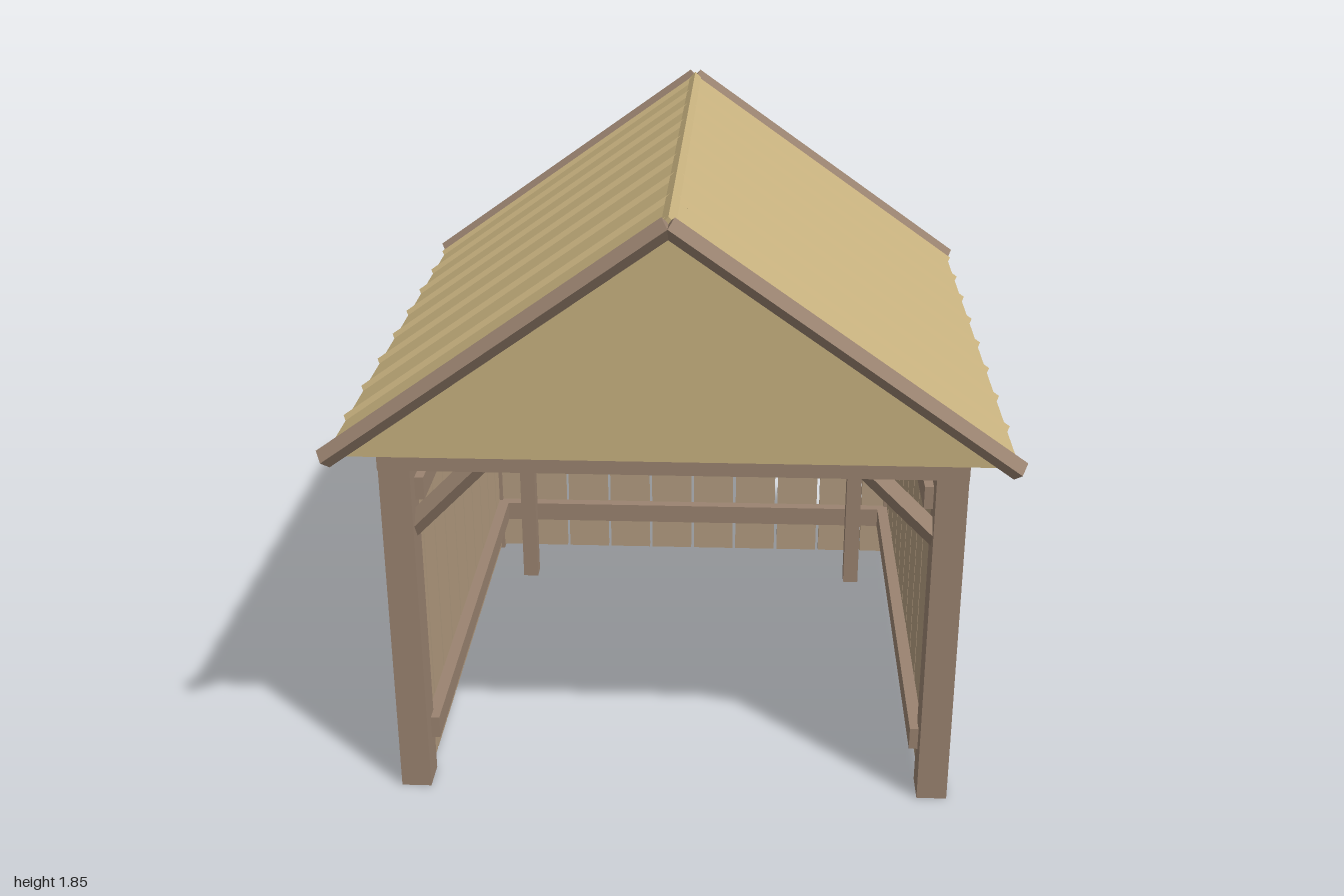
import * as THREE from 'three';

const material = (color) => new THREE.MeshStandardMaterial({ color, flatShading: true });

export function createModel() {
  const shelter = new THREE.Group();
  shelter.name = 'shelter';
  const beamWood = material(0x9a8370);
  const plankWood = material(0xb39c80);
  const roofing = material(0xc8b27f);

  const add = (name, geometry, mat) => {
    const mesh = new THREE.Mesh(geometry, mat);
    mesh.name = name;
    shelter.add(mesh);
    return mesh;
  };

  // Box given by its extents on each axis
  const box = (name, mat, [x0, x1], [y0, y1], [z0, z1]) =>
    add(name, new THREE.BoxGeometry(x1 - x0, y1 - y0, z1 - z0), mat)
      .position.set((x0 + x1) / 2, (y0 + y1) / 2, (z0 + z1) / 2);

  // Four-sided rod between two points, standing on its edge
  const rod = (name, mat, from, to, radius) => {
    const a = new THREE.Vector3(...from);
    const b = new THREE.Vector3(...to);
    const dir = b.clone().sub(a);
    const mesh = add(name, new THREE.CylinderGeometry(radius, radius, dir.length(), 4), mat);
    mesh.position.copy(a).add(b).multiplyScalar(0.5);
    mesh.quaternion.setFromUnitVectors(new THREE.Vector3(0, 1, 0), dir.normalize());
  };

  const span = (side, a, b) => (side > 0 ? [a, b] : [-b, -a]);
  const sides = [-1, 1];

  // Corner posts and front header
  for (const sx of sides) {
    for (const sz of sides) {
      box('cornerPost', beamWood, span(sx, 0.743, 0.833), [0, 1.16], span(sz, 0.741, 0.839));
    }
  }
  box('frontBeam', beamWood, [-0.833, 0.833], [1.07, 1.16], [0.735, 0.848]);

  // Diagonal braces in the front opening
  for (const s of sides) {
    rod('brace', beamWood, [s * 0.77, 0.855, 0.79], [s * 0.52, 1.105, 0.79], 0.033);
  }

  // Plank walls: back and both sides
  const pitch = 0.163;
  for (let i = 0; i < 10; i++) {
    const c = (i - 4.5) * pitch;
    const width = [c - 0.076, c + 0.076];
    box('backPlank', plankWood, width, [0.012, 1.16], [-0.78, -0.755]);
    for (const s of sides) {
      box('sidePlank', plankWood, span(s, 0.755, 0.78), [0.012, 1.16], width);
    }
  }

  // Horizontal rails behind the planks; the ends just pass through them
  for (const y of [0.14, 0.95]) {
    const height = [y, y + 0.07];
    box('backRail', beamWood, [-0.785, 0.785], height, [-0.757, -0.717]);
    for (const s of sides) {
      box('sideRail', beamWood, span(s, 0.717, 0.757), height, [-0.785, 0.785]);
    }
  }

  // Bench along the back wall
  box('benchTop', plankWood, [-0.717, 0.717], [0.522, 0.573], [-0.72, -0.482]);
  for (const s of sides) {
    box('benchLeg', beamWood, span(s, 0.583, 0.637), [0, 0.522], [-0.573, -0.518]);
  }

  // Solid gable roof
  const eaveX = 0.95, eaveY = 1.158, ridgeY = 1.83;
  const gable = new THREE.Shape([
    new THREE.Vector2(-eaveX, eaveY),
    new THREE.Vector2(eaveX, eaveY),
    new THREE.Vector2(0, ridgeY),
  ]);
  const roof = new THREE.ExtrudeGeometry(gable, { depth: 1.9, bevelEnabled: false });
  add('roof', roof.translate(0, 0, -0.95), roofing);
  rod('ridgeCap', roofing, [0, ridgeY, -0.95], [0, ridgeY, 0.95], 0.02);

  // Roof battens and verge boards on each slope
  for (const s of sides) {
    const slopeRod = (name, mat, z, radius) =>
      rod(name, mat, [s * eaveX, eaveY, z], [0, ridgeY, z], radius);
    for (let i = -4; i <= 4; i++) slopeRod('roofBatten', roofing, i * 0.229, 0.014);
    for (const sz of sides) slopeRod('vergeBoard', beamWood, sz * 0.97, 0.03);
  }

  return shelter;
}
